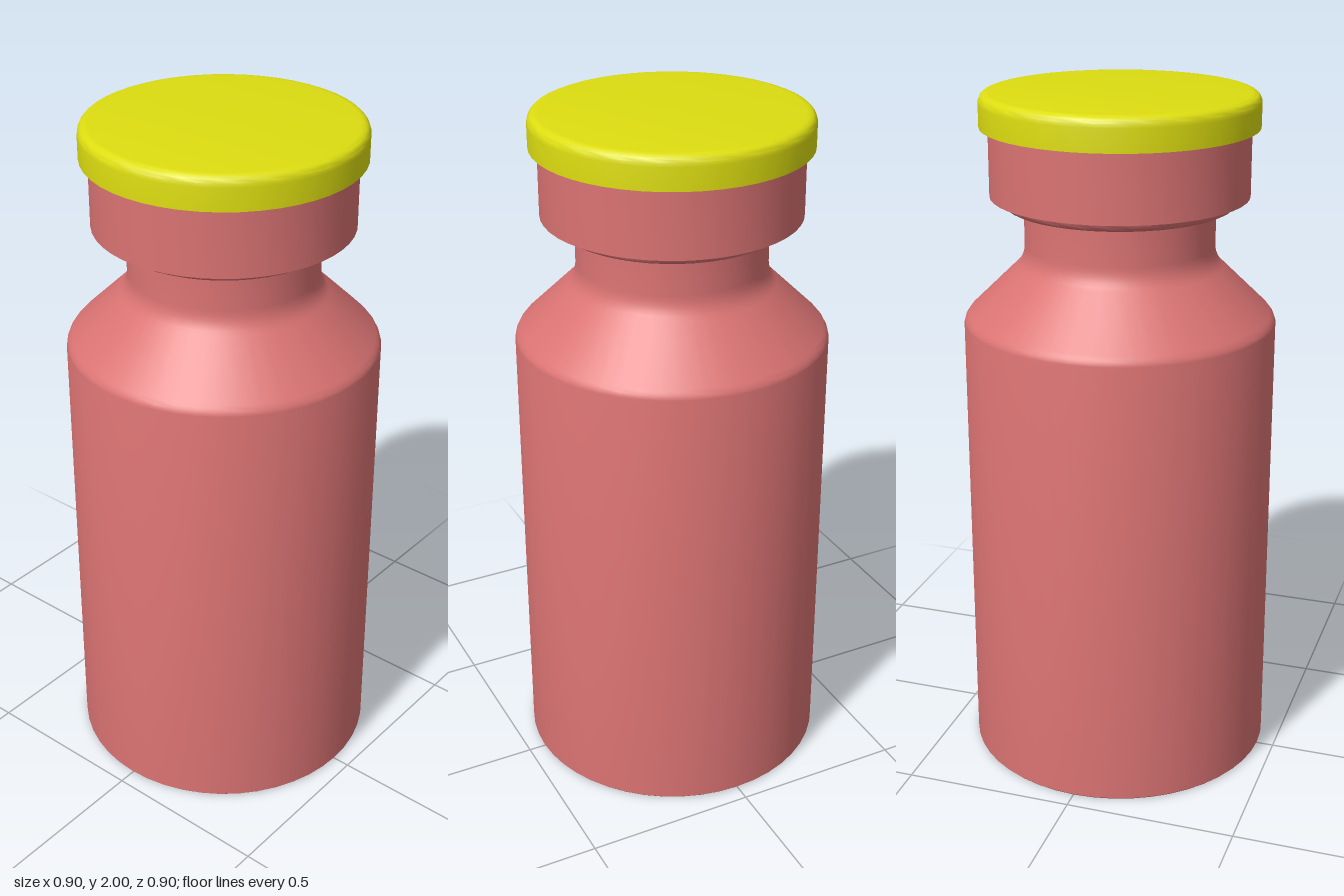
import * as THREE from 'three';
import { toCreasedNormals } from 'three/addons/utils/BufferGeometryUtils.js';

const SEGMENTS = 48;

// Rounded corner: samples a quadratic curve from a to c, pulled towards b
function fillet(a, b, c, steps = 5) {
  const v = (p) => new THREE.Vector2(p[0], p[1]);
  return new THREE.QuadraticBezierCurve(v(a), v(b), v(c)).getPoints(steps).map((p) => [p.x, p.y]);
}

// Solid of revolution, profile listed from bottom to top
function turned(name, profile, color) {
  const points = profile.map(([r, y]) => new THREE.Vector2(r, y));
  const geometry = toCreasedNormals(new THREE.LatheGeometry(points, SEGMENTS), 0.6);
  const mesh = new THREE.Mesh(geometry, new THREE.MeshStandardMaterial({ color }));
  mesh.name = name;
  return mesh;
}

export function createModel() {
  const group = new THREE.Group();
  group.name = 'vial';
  const pink = 0xdb7373;
  const yellow = 0xdddd11;

  // Body, sloped shoulder, neck and rounded mouth lip
  group.add(turned('bottle', [
    [0, 0], [0.445, 0], [0.45, 0.005],
    ...fillet([0.45, 1.34], [0.45, 1.357], [0.434, 1.373]),
    ...fillet([0.297, 1.507], [0.272, 1.532], [0.272, 1.57]),
    [0.272, 1.68],
    ...fillet([0.31, 1.68], [0.335, 1.682], [0.34, 1.71]),
    [0.34, 1.75], [0, 1.75],
  ], pink));

  // Crimped collar around the mouth
  group.add(turned('collar', [
    [0, 1.71], [0.368, 1.71], [0.368, 1.91], [0, 1.91],
  ], pink));

  // Flip-off cap with a rounded top edge
  group.add(turned('cap', [
    [0, 1.905], [0.393, 1.905],
    ...fillet([0.393, 1.97], [0.393, 2], [0.363, 2]),
    [0, 2],
  ], yellow));

  return group;
}
